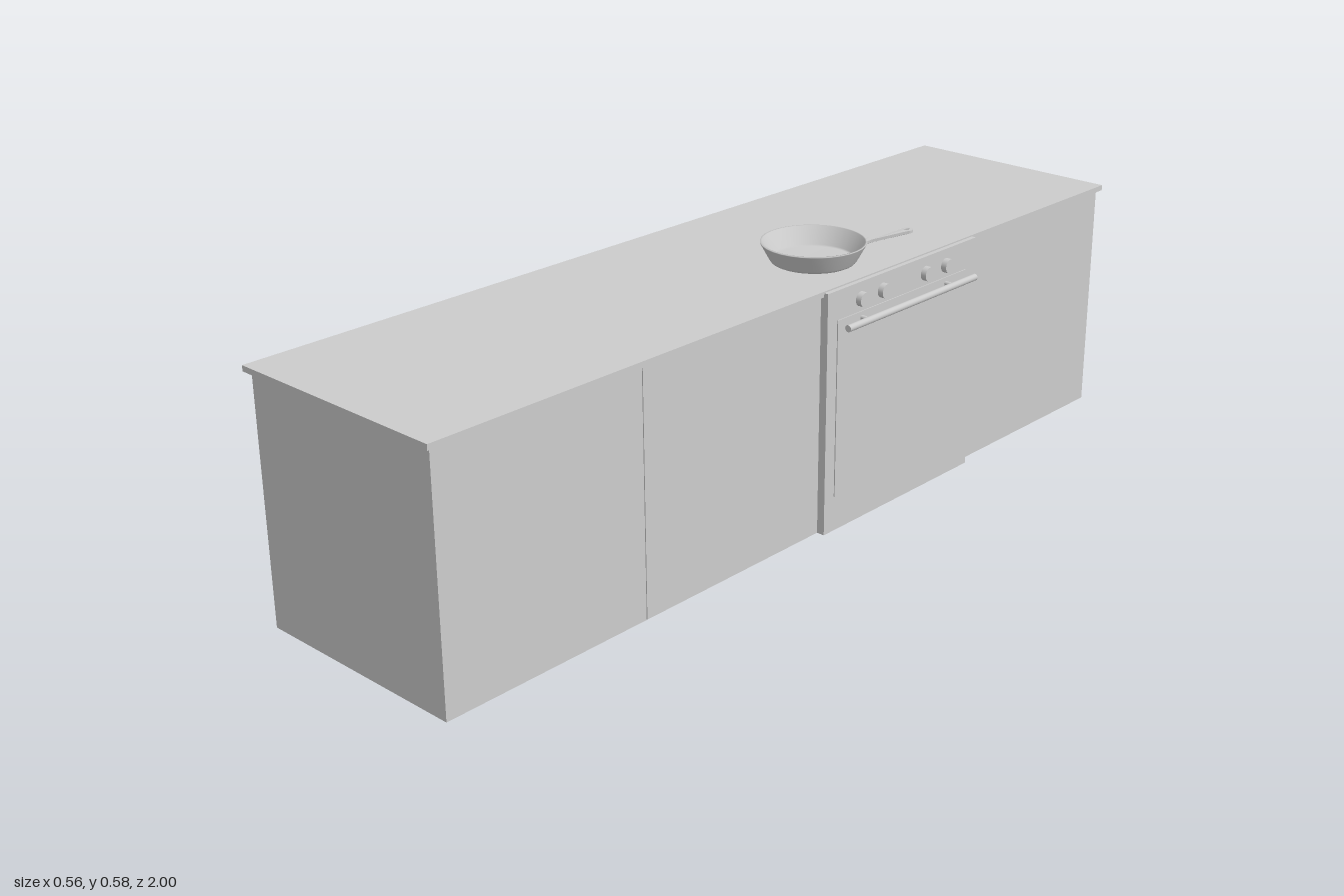
import * as THREE from 'three';

export function createModel() {
  const root = new THREE.Group();
  const grey = new THREE.MeshStandardMaterial({ color: 0xcccccc });
  grey.name = 'light grey';

  const add = (name, geometry, x = 0, y = 0, z = 0, parent = root) => {
    const mesh = new THREE.Mesh(geometry, grey);
    mesh.name = name;
    mesh.position.set(x, y, z);
    parent.add(mesh);
    return mesh;
  };
  // box given by its limits on each axis
  const box = (name, x0, x1, y0, y1, z0, z1) =>
    add(name, new THREE.BoxGeometry(x1 - x0, y1 - y0, z1 - z0), (x0 + x1) / 2, (y0 + y1) / 2, (z0 + z1) / 2);

  // cabinet run and countertop
  box('cabinetBack', -0.267, 0.227, 0, 0.519, -0.988, -0.496);
  box('cabinetMiddle', -0.267, 0.227, 0, 0.519, -0.494, 0.498);
  box('cabinetFront', -0.267, 0.227, 0, 0.519, 0.5, 0.99);
  box('countertop', -0.28, 0.235, 0.519, 0.531, -1, 1);

  // oven front with a slightly raised door
  box('ovenFront', 0.227, 0.245, 0, 0.528, -0.491, 0);
  box('ovenDoor', 0.245, 0.2472, 0.078, 0.465, -0.457, -0.03);

  // control knobs
  for (const z of [-0.103, -0.173, -0.316, -0.386]) {
    const knob = add('knob', new THREE.CylinderGeometry(0.0155, 0.0155, 0.014, 24), 0.251, 0.492, z);
    knob.rotation.z = -Math.PI / 2;
  }

  // door handle: bar on two posts
  const bar = add('handleBar', new THREE.CylinderGeometry(0.0075, 0.0075, 0.425, 16), 0.2705, 0.453, -0.2455);
  bar.rotation.x = Math.PI / 2;
  for (const z of [-0.105, -0.386]) {
    const post = add('handlePost', new THREE.CylinderGeometry(0.005, 0.005, 0.026, 12), 0.258, 0.452, z);
    post.rotation.z = -Math.PI / 2;
  }

  // frying pan
  const pan = new THREE.Group();
  pan.name = 'fryingPan';
  pan.position.set(0.096, 0.5315, -0.13);
  pan.rotation.y = -Math.PI / 6;
  root.add(pan);
  const profile = [
    [0, 0], [0.084, 0], [0.088, 0.002], [0.091, 0.006], [0.11, 0.041], [0.11, 0.043],
    [0.106, 0.043], [0.087, 0.007], [0.083, 0.004], [0, 0.004],
  ].map(([x, y]) => new THREE.Vector2(x, y));
  add('panBowl', new THREE.LatheGeometry(profile, 32), 0, 0, 0, pan);

  // pan handle: flared strip with a hanging hole, bent upward along its length
  const outline = new THREE.Shape();
  outline.moveTo(-0.011, 0.1);
  outline.lineTo(-0.008, 0.125);
  outline.lineTo(-0.012, 0.2);
  outline.absarc(0, 0.206, 0.013, Math.PI, 0, true);
  outline.lineTo(0.012, 0.2);
  outline.lineTo(0.008, 0.125);
  outline.lineTo(0.011, 0.1);
  const hole = new THREE.Path();
  hole.absellipse(0, 0.205, 0.004, 0.007, 0, Math.PI * 2, false);
  outline.holes.push(hole);
  const strip = new THREE.ExtrudeGeometry(outline, { depth: 0.006, bevelEnabled: false, curveSegments: 10 });
  strip.rotateX(-Math.PI / 2);
  const p = strip.attributes.position;
  for (let i = 0; i < p.count; i++) {
    const t = (-p.getZ(i) - 0.1) / 0.119;
    p.setY(i, p.getY(i) + 0.024 + 0.03 * t - 0.011 * t * t);
  }
  strip.computeVertexNormals();
  add('panHandle', strip, 0, 0, 0, pan);

  return root;
}
